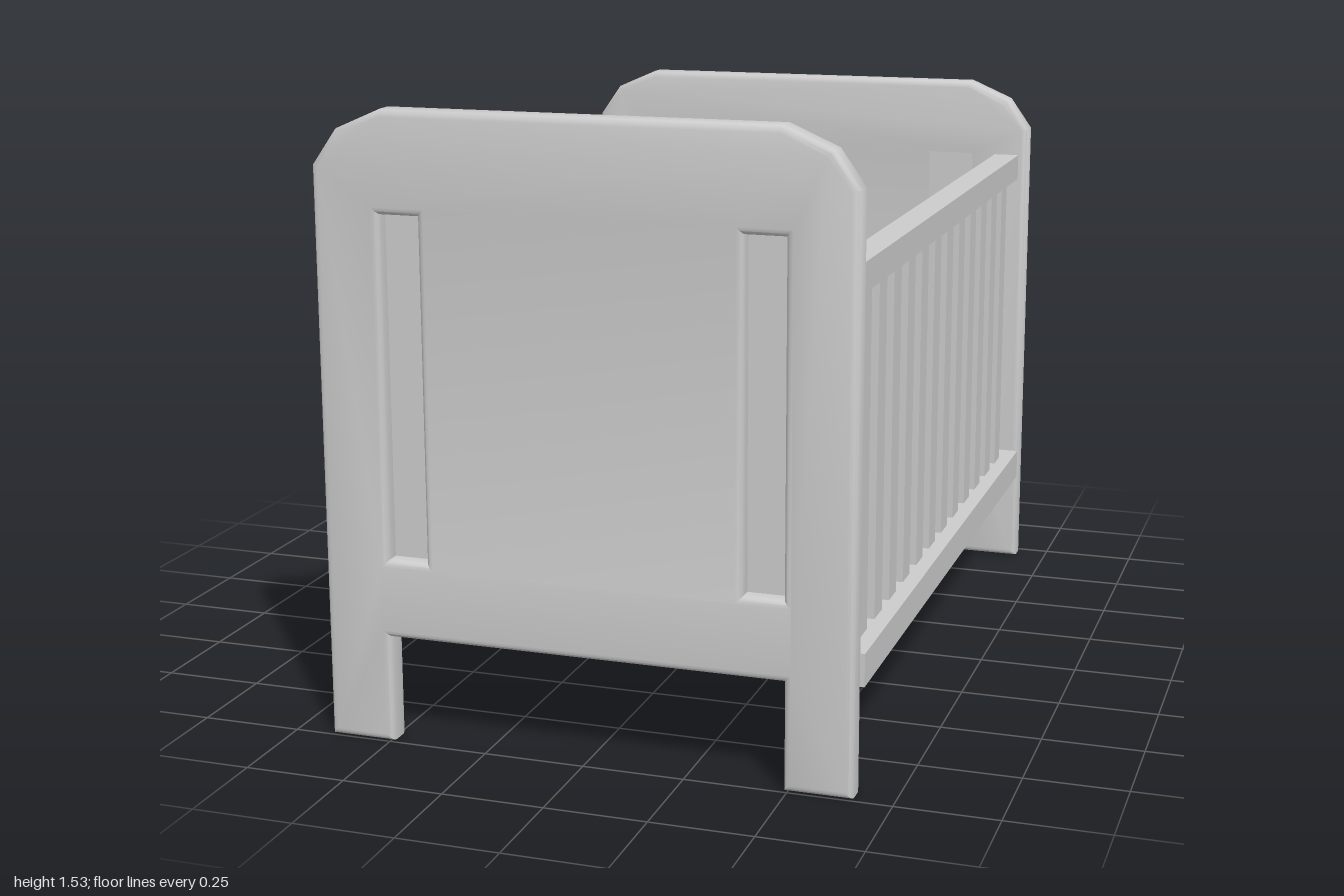
import * as THREE from 'three';
import { toCreasedNormals } from 'three/addons/utils/BufferGeometryUtils.js';
import { RoundedBoxGeometry } from 'three/addons/geometries/RoundedBoxGeometry.js';

const grey = new THREE.MeshStandardMaterial({ color: 0xcccccc });
const cloth = new THREE.MeshStandardMaterial({ color: 0xcccccc, side: THREE.DoubleSide });

function add(parent, name, geometry, x = 0, y = 0, z = 0, material = grey) {
  const mesh = new THREE.Mesh(geometry, material);
  mesh.name = name;
  mesh.position.set(x, y, z);
  parent.add(mesh);
  return mesh;
}

// box given by its limits
function block(parent, name, x0, x1, y0, y1, z0, z1) {
  return add(parent, name, new THREE.BoxGeometry(x1 - x0, y1 - y0, z1 - z0),
    (x0 + x1) / 2, (y0 + y1) / 2, (z0 + z1) / 2);
}

// end board with two legs, cut corners and two recessed slots; outer face towards +z
function endBoard(name, w, top, slotBottom, slotTop) {
  const group = new THREE.Group();
  group.name = name;
  const half = [[0.49, 0.265], [0.49, 0], [w, 0], [w, top - 0.135],
    [w - 0.06, top - 0.05], [w - 0.175, top]];
  const outline = [...half, ...half.map(([x, y]) => [-x, y]).reverse()];
  const shape = new THREE.Shape(outline.map(p => new THREE.Vector2(...p)));
  for (const s of [-1, 1]) {
    const a = s * 0.44 - 0.048, b = s * 0.44 + 0.048;
    shape.holes.push(new THREE.Path([[a, slotBottom], [a, slotTop], [b, slotTop], [b, slotBottom]]
      .map(p => new THREE.Vector2(...p))));
    // floor of the recess, flush with the inner face
    block(group, 'slotBack', a - 0.025, b + 0.025, slotBottom - 0.025, slotTop + 0.025, 0.9255, 0.96);
  }
  const bevel = 0.018;
  const geo = new THREE.ExtrudeGeometry(shape, {
    depth: 0.075 - 2 * bevel, bevelThickness: bevel, bevelSize: bevel,
    bevelOffset: -bevel, bevelSegments: 3,
  });
  add(group, 'board', toCreasedNormals(geo, 0.7), 0, 0, 0.925 + bevel);
  return group;
}

// side with two rails and twelve slats, on the +x or -x side
function sideRail(s) {
  const group = new THREE.Group();
  group.name = s > 0 ? 'leftSide' : 'rightSide';
  const bar = (name, a, b, y0, y1, z0, z1) =>
    block(group, name, Math.min(s * a, s * b), Math.max(s * a, s * b), y0, y1, z0, z1);
  bar('topRail', 0.57, 0.64, 1.155, 1.225, -0.93, 0.93);
  bar('bottomRail', 0.565, 0.663, 0.25, 0.33, -0.925, 0.93);
  for (let i = 0; i < 12; i++) {
    const z = 0.8 - i * 0.1455;
    bar('slat', 0.585, 0.625, 0.32, 1.165, z - 0.036, z + 0.036);
  }
  return group;
}

// blanket heaped towards the back, lofted from rows across x
function blanketGeometry() {
  // z, left x, right x, left y, right y, ridge x, ridge y, ridge width, bow of the row
  const rows = [
    [0.765, -0.47, 0.50, 0.578, 0.578, 0.1, 0.58, 0.2, -0.05],
    [0.45, -0.43, 0.47, 0.578, 0.578, 0.1, 0.58, 0.2, 0],
    [0.20, -0.39, 0.44, 0.578, 0.578, 0.15, 0.585, 0.07, 0],
    [0.15, -0.385, 0.43, 0.578, 0.578, 0.15, 0.65, 0.08, 0],
    [0.08, -0.38, 0.42, 0.578, 0.578, 0.13, 0.70, 0.11, 0],
    [0.0, -0.37, 0.41, 0.578, 0.578, 0.11, 0.74, 0.13, 0],
    [-0.20, -0.385, 0.36, 0.578, 0.59, 0.1, 0.80, 0.16, 0],
    [-0.34, -0.40, 0.39, 0.60, 0.64, 0.1, 0.88, 0.22, 0],
    [-0.44, -0.43, 0.44, 0.74, 0.67, 0.11, 0.95, 0.26, 0],
    [-0.53, -0.46, 0.49, 0.79, 0.69, 0.12, 0.965, 0.28, 0],
    [-0.62, -0.48, 0.55, 0.81, 0.70, 0.12, 0.94, 0.28, 0.01],
    [-0.71, -0.47, 0.53, 0.78, 0.69, 0.13, 0.965, 0.22, 0.09],
    [-0.77, -0.47, 0.53, 0.74, 0.69, 0.13, 0.87, 0.2, 0.14],
    [-0.80, -0.46, 0.52, 0.70, 0.68, 0.13, 0.70, 0.2, 0.16],
  ];
  const n = 24, pos = [], index = [];
  rows.forEach(([z, xl, xr, yl, yr, xc, yc, w, bow], r) => {
    for (let i = 0; i <= n; i++) {
      const u = i / n, x = xl + (xr - xl) * u;
      const base = yl + (yr - yl) * u;
      const mid = yl + (yr - yl) * (xc - xl) / (xr - xl);
      const bump = (yc - mid) * Math.exp(-(((x - xc) / w) ** 2));
      const fold = bump * 0.07 * Math.sin(x * 26 + z * 14);
      pos.push(x, base + bump + fold, z + bow * Math.abs(2 * u - 1) ** 1.5);
      if (r && i) {
        const d = r * (n + 1) + i, c = d - 1, b = d - n - 1, a = b - 1;
        index.push(a, b, d, a, d, c);
      }
    }
  });
  const geo = new THREE.BufferGeometry();
  geo.setAttribute('position', new THREE.Float32BufferAttribute(pos, 3));
  geo.setIndex(index);
  geo.computeVertexNormals();
  return geo;
}

export function createModel() {
  const model = new THREE.Group();
  model.name = 'cot';

  // end boards
  model.add(endBoard('frontBoard', 0.655, 1.535, 0.46, 1.29));
  const back = endBoard('backBoard', 0.665, 1.435, 0.44, 1.21);
  back.rotation.y = Math.PI;
  model.add(back);

  // sides, base and mattress
  model.add(sideRail(1), sideRail(-1));
  block(model, 'base', -0.57, 0.57, 0.245, 0.325, -0.93, 0.93);
  add(model, 'mattress', new RoundedBoxGeometry(1.09, 0.225, 1.81, 4, 0.05), 0, 0.4575, 0);

  // blanket and its pointed corner at the back
  add(model, 'blanket', blanketGeometry(), 0, 0, 0, cloth);
  const corner = new THREE.ConeGeometry(0.13, 0.2, 8, 1, true);
  corner.rotateX(-Math.PI / 2);
  corner.scale(1, 0.4, 1);
  add(model, 'blanketCorner', corner, 0.1, 0.71, -0.82, cloth);
  return model;
}
